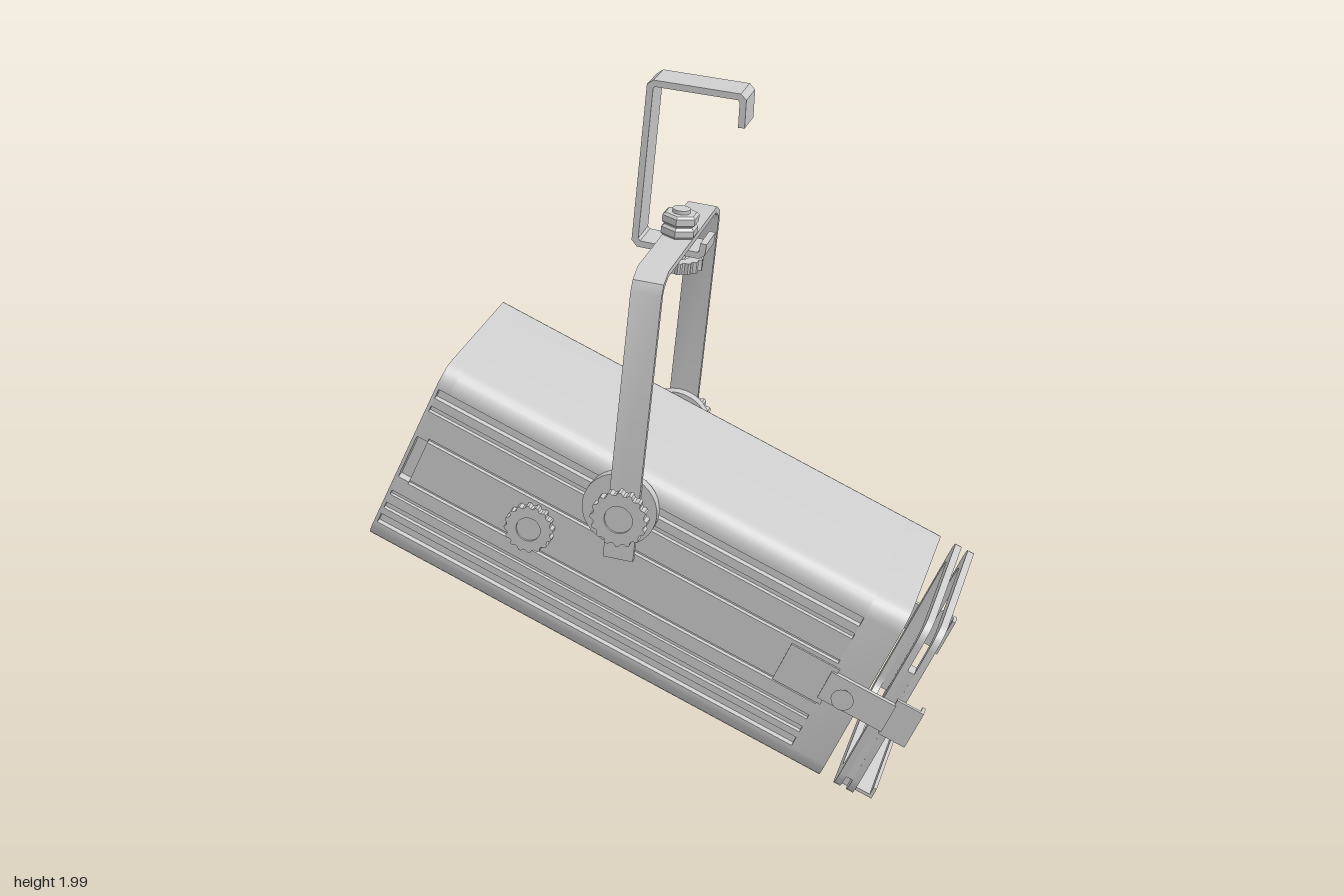
import * as THREE from 'three';
import { toCreasedNormals } from 'three/addons/utils/BufferGeometryUtils.js';

const grey = new THREE.MeshStandardMaterial({ color: 0xcccccc });
const V = (x, y) => new THREE.Vector2(x, y);

function add(parent, name, geometry, x = 0, y = 0, z = 0) {
  const mesh = new THREE.Mesh(geometry, grey);
  mesh.name = name;
  mesh.position.set(x, y, z);
  parent.add(mesh);
  return mesh;
}

// Extrusion centred on z
function slab(shape, depth) {
  const g = new THREE.ExtrudeGeometry(shape, { depth, bevelEnabled: false, curveSegments: 12 });
  g.translate(0, 0, -depth / 2);
  return toCreasedNormals(g, 0.6);
}

// Flat bar bent along a 2D path, extruded to a width
function bentStrap(path, thickness, width) {
  const p = path.map(([x, y]) => V(x, y));
  const side = (sign) => p.map((q, i) => {
    const a = q.clone().sub(p[Math.max(i - 1, 0)]).normalize();
    const b = p[Math.min(i + 1, p.length - 1)].clone().sub(q).normalize();
    const d = a.clone().add(b).normalize();
    const ref = a.lengthSq() ? a : b;
    const k = (sign * thickness) / 2 / d.dot(ref);
    return V(q.x - d.y * k, q.y + d.x * k);
  });
  return slab(new THREE.Shape([...side(1), ...side(-1).reverse()]), width);
}

// Rounded rectangle whose two sides carry grooves [centre, width, depth]
function section(w, h, r, grooves = []) {
  const pts = [];
  const corner = (cx, cy, start) => {
    for (let i = 0; i <= 6; i++) {
      const a = start + (i / 6) * Math.PI / 2;
      pts.push(V(cx + r * Math.cos(a), cy + r * Math.sin(a)));
    }
  };
  const flank = (s) => {
    const list = [...grooves].sort((a, b) => s * (a[0] - b[0]));
    for (const [c, gw, d] of list) {
      const lo = c - s * gw / 2, hi = c + s * gw / 2;
      pts.push(V(s * w, lo), V(s * (w - d), lo), V(s * (w - d), hi), V(s * w, hi));
    }
  };
  corner(w - r, -h + r, -Math.PI / 2);
  flank(1);
  corner(w - r, h - r, 0);
  corner(-w + r, h - r, Math.PI / 2);
  flank(-1);
  corner(-w + r, -h + r, Math.PI);
  return new THREE.Shape(pts);
}

function withBore(shape, r) {
  shape.holes.push(new THREE.Path().absarc(0, 0, r, 0, Math.PI * 2, true));
  return shape;
}

// Toothed hand knob around z, with a sunk centre
function knob(parent, name, r, depth, x, y, z) {
  const teeth = 16, pts = [];
  for (let i = 0; i < teeth * 4; i++) {
    const a = (i / (teeth * 4)) * Math.PI * 2;
    const rr = i % 4 < 2 ? r : r * 0.9;
    pts.push(V(rr * Math.cos(a), rr * Math.sin(a)));
  }
  const g = new THREE.Group();
  g.name = name;
  g.position.set(x, y, z);
  add(g, 'grip', slab(withBore(new THREE.Shape(pts), r * 0.5), depth));
  const core = new THREE.CylinderGeometry(r * 0.52, r * 0.52, depth * 0.6, 24);
  add(g, 'core', core.rotateX(Math.PI / 2));
  parent.add(g);
  return g;
}

const discZ = (r, depth, n = 32) => new THREE.CylinderGeometry(r, r, depth, n).rotateX(Math.PI / 2);

// Lamp housing, built with its beam along +x
function makeLamp() {
  const lamp = new THREE.Group();
  lamp.name = 'lamp';
  const along = (name, shape, x0, x1) =>
    add(lamp, name, slab(shape, x1 - x0).rotateY(Math.PI / 2), (x0 + x1) / 2);

  const fins = [[0.215, 0.03, 0.02], [0.165, 0.018, 0.015], [-0.125, 0.014, 0.012],
    [-0.17, 0.02, 0.015], [-0.215, 0.03, 0.02]];
  const panelEdges = [[0.074, 0.012, 0.015], [-0.07, 0.012, 0.015]];
  const body = (grooves) => section(0.3, 0.295, 0.06, grooves);
  along('backPlate', body(), -0.718, -0.708);
  along('backHousing', withBore(body([...fins, [0, 0.14, 0.03]]), 0.25), -0.708, -0.675);
  along('finnedHousing', withBore(body([...fins, ...panelEdges]), 0.25), -0.675, 0.61);
  along('frontCollar', withBore(body(), 0.25), 0.61, 0.718);

  // Domed lens recessed in the bore
  const dome = new THREE.SphereGeometry(0.25, 40, 14, 0, Math.PI * 2, 0, Math.PI / 2);
  add(lamp, 'lens', dome.scale(1, 0.72, 1).rotateZ(-Math.PI / 2), 0.42);

  // Accessory holder: two frames with a slot open at the top
  for (const x of [0.765, 0.805]) {
    const ring = section(0.3, 0.298, 0.065);
    ring.holes.push(section(0.255, 0.25, 0.05));
    along('holderFrame', ring, x, x + 0.02);
  }
  add(lamp, 'holderSpacer', new THREE.BoxGeometry(0.022, 0.043, 0.48), 0.795, -0.274);
  add(lamp, 'bottomClip',
    bentStrap([[0.82, -0.292], [0.877, -0.292], [0.877, -0.262]], 0.01, 0.47));

  for (const s of [1, -1]) {
    add(lamp, 'holderSpacer', new THREE.BoxGeometry(0.022, 0.385, 0.043), 0.795, -0.043, s * 0.278);
    const clip = bentStrap([[0.8, s * 0.305], [0.877, s * 0.305], [0.877, s * 0.275]], 0.01, 0.12);
    add(lamp, 'sideClip', clip.rotateX(Math.PI / 2));
    add(lamp, 'guidePlate', new THREE.BoxGeometry(0.15, 0.125, 0.006), 0.547, -0.006, s * 0.304);
    add(lamp, 'holderArm', new THREE.BoxGeometry(0.2, 0.092, 0.014), 0.705, -0.003, s * 0.307);
    // Thumb screw
    add(lamp, 'screwStem', discZ(0.014, 0.05, 16), 0.666, 0, s * 0.322);
    const head = new THREE.CylinderGeometry(0.032, 0.016, 0.014, 20);
    add(lamp, 'screwHead', head.rotateX(s * Math.PI / 2), 0.666, 0, s * 0.341);
    knob(lamp, 'focusKnob', 0.07, 0.03, -0.316, -0.008, s * 0.312);
  }
  lamp.position.set(-0.051, 0.649, 0);
  lamp.rotation.z = -25 * Math.PI / 180;
  return lamp;
}

// Yoke with its pivots at the origin
function makeYoke() {
  const yoke = new THREE.Group();
  yoke.name = 'yoke';
  const half = [[0.336, -0.14], [0.336, 0.64], [0.325, 0.665], [0.285, 0.686]];
  const path = [...half, ...half.map(([x, y]) => [-x, y]).reverse()];
  add(yoke, 'yokeStrap', bentStrap(path, 0.017, 0.085).rotateY(Math.PI / 2));
  for (const s of [1, -1]) {
    add(yoke, 'pivotDisc', discZ(0.106, 0.03), -0.014, 0, s * 0.312);
    add(yoke, 'pivotHub', discZ(0.05, 0.03), 0, 0, s * 0.35);
    knob(yoke, 'pivotKnob', 0.08, 0.032, 0, 0, s * 0.376);
  }
  // Bolt, nuts and hand wheel at the top
  add(yoke, 'bolt', new THREE.CylinderGeometry(0.025, 0.025, 0.165, 20), 0, 0.69);
  const nut = [[0, -0.016], [0.045, -0.016], [0.053, -0.009], [0.053, 0.009], [0.045, 0.016], [0, 0.016]];
  for (const y of [0.712, 0.746]) {
    const g = new THREE.LatheGeometry(nut.map(([x, yy]) => V(x, yy)), 6);
    add(yoke, 'nut', toCreasedNormals(g, 0.3), 0, y);
  }
  knob(yoke, 'handWheel', 0.075, 0.032, 0, 0.622, 0).rotation.x = Math.PI / 2;
  yoke.position.set(-0.066, 0.861, 0);
  yoke.rotation.z = -6.1 * Math.PI / 180;
  return yoke;
}

export function createModel() {
  const model = new THREE.Group();
  model.name = 'stageLight';
  model.add(makeLamp(), makeYoke());
  // Hanging hook
  const hook = [[0.192, 1.883], [0.196, 1.957], [0.186, 1.968], [-0.046, 1.99], [-0.058, 1.982],
    [-0.102, 1.55], [-0.092, 1.537], [0.075, 1.516], [0.085, 1.522], [0.09, 1.55]];
  add(model, 'hook', bentStrap(hook, 0.018, 0.11));
  model.position.z = -0.004;
  return model;
}
